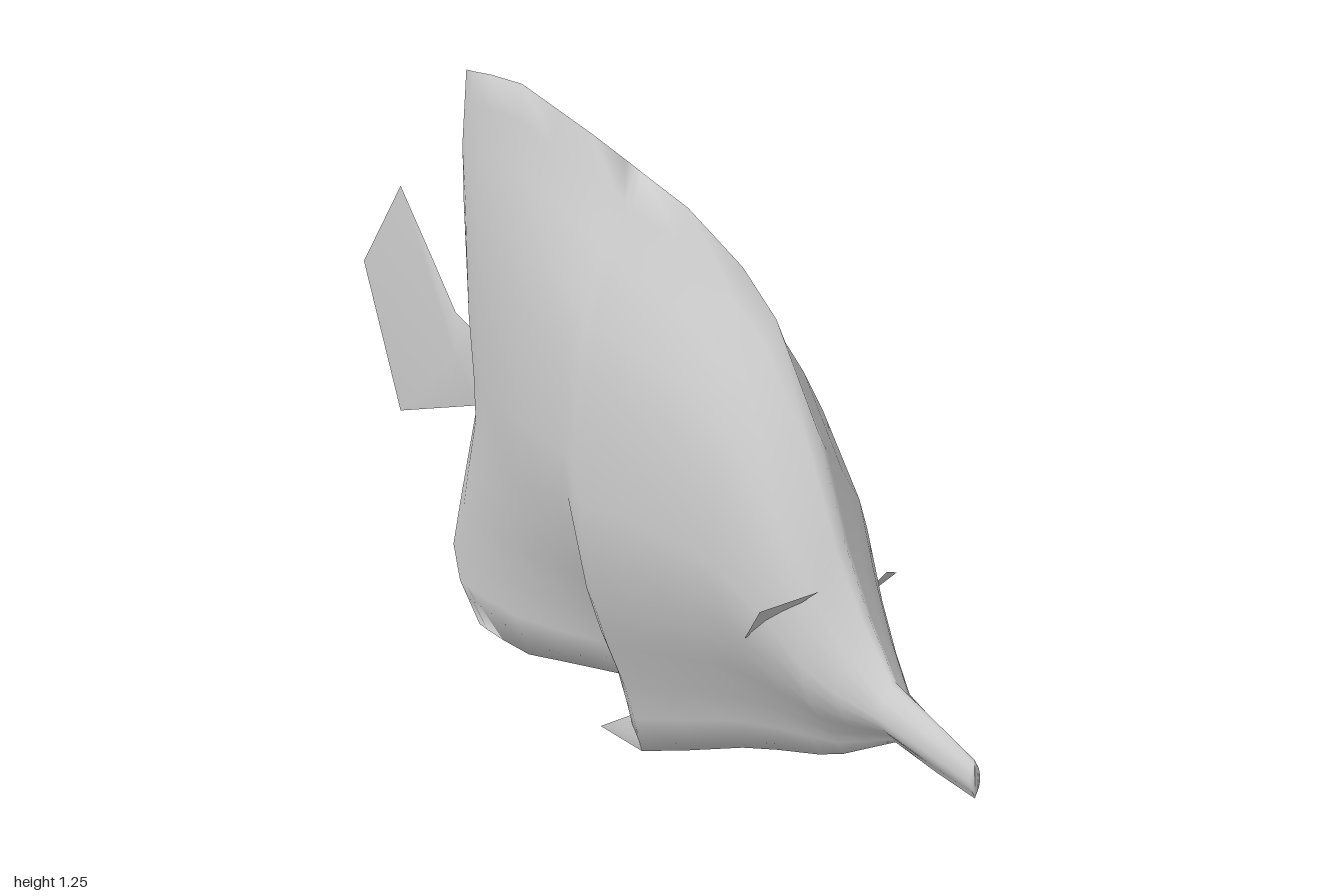
import * as THREE from 'three';

const material = new THREE.MeshStandardMaterial({ color: 0xcccccc, roughness: 0.8, side: THREE.DoubleSide });

// Linear lookup in a list of [key, value] pairs with rising keys
function lookup(pairs, k) {
  if (k <= pairs[0][0]) return pairs[0][1];
  for (let i = 1; i < pairs.length; i++) {
    const [a, va] = pairs[i - 1], [b, vb] = pairs[i];
    if (k <= b) return va + (vb - va) * (k - a) / (b - a);
  }
  return pairs[pairs.length - 1][1];
}

function makeMesh(name, positions, index) {
  const g = new THREE.BufferGeometry();
  g.setAttribute('position', new THREE.Float32BufferAttribute(positions, 3));
  g.setIndex(index);
  g.computeVertexNormals();
  const m = new THREE.Mesh(g, material);
  m.name = name;
  return m;
}

// Body stations from snout to tail: z, belly y, back y, half width
const stations = [
  [1.0, 0.29, 0.37, 0.012], [0.87, 0.3, 0.405, 0.024], [0.74, 0.315, 0.44, 0.04],
  [0.65, 0.27, 0.55, 0.072], [0.57, 0.23, 0.68, 0.1], [0.49, 0.2, 0.87, 0.125],
  [0.35, 0.16, 1.06, 0.143], [0.24, 0.125, 1.13, 0.15], [0.06, 0.055, 1.19, 0.152],
  [-0.09, 0.0, 1.21, 0.145], [-0.115, 0.03, 1.214, 0.143], [-0.145, 0.14, 1.218, 0.14],
  [-0.25, 0.117, 1.232, 0.123], [-0.36, 0.093, 1.243, 0.1], [-0.48, 0.07, 1.255, 0.068],
  [-0.58, 0.07, 1.238, 0.036], [-0.635, 0.073, 1.225, 0.018], [-0.66, 0.076, 1.22, 0.0],
];

// Relative half width from belly keel (0) to back fin edge (1)
const girth = [[0, 0], [0.06, 0.13], [0.12, 0.28], [0.2, 0.56], [0.28, 0.79], [0.38, 0.97], [0.46, 1],
  [0.56, 0.98], [0.66, 0.91], [0.76, 0.76], [0.86, 0.45], [0.94, 0.15], [1, 0]];

// z of the rear edge at each height: anal fin lobe, tail root, back fin
const rearEdge = [[0.075, -0.62], [0.11, -0.67], [0.2, -0.71], [0.33, -0.68], [0.53, -0.63],
  [0.6, -0.64], [0.69, -0.655], [1.03, -0.68], [1.22, -0.665]];

function makeBody() {
  const n = girth.length, ring = 2 * n - 2;
  const positions = [], index = [];
  for (const [z, lo, hi, w] of stations) {
    const pull = THREE.MathUtils.smoothstep(-z, 0.3, 0.66);
    for (let j = 0; j < ring; j++) {
      const [t, r] = girth[j < n ? j : ring - j];
      const y = lo + (hi - lo) * t;
      positions.push((j < n ? 1 : -1) * r * w, y, z + pull * (lookup(rearEdge, y) + 0.66));
    }
  }
  for (let i = 0; i < stations.length - 1; i++) {
    for (let j = 0; j < ring; j++) {
      const a = i * ring + j, b = i * ring + (j + 1) % ring, c = a + ring, d = b + ring;
      index.push(a, c, b, b, c, d);
    }
  }
  // Mouth cap
  for (let j = 1; j < ring - 1; j++) index.push(0, j, j + 1);
  return makeMesh('body', positions, index);
}

// Thin fin: outline of [z, y] points around a slightly raised centre on both sides
function makeFin(name, outline, centre, thickness) {
  const positions = [], index = [], n = outline.length;
  for (const side of [1, -1]) {
    const base = positions.length / 3;
    positions.push(side * thickness, centre[1], centre[0]);
    for (const [z, y] of outline) positions.push(0, y, z);
    for (let j = 0; j < n; j++) {
      const a = base + 1 + j, b = base + 1 + (j + 1) % n;
      index.push(base, ...(side > 0 ? [a, b] : [b, a]));
    }
  }
  return makeMesh(name, positions, index);
}

export function createModel() {
  const group = new THREE.Group();
  group.name = 'fish';
  group.add(makeBody());

  // Tail fin, fanned out from the narrow root
  group.add(makeFin('tailFin',
    [[-0.6, 0.67], [-0.7, 0.7], [-0.78, 0.79], [-0.88, 0.9], [-1.0, 0.7], [-0.88, 0.43], [-0.63, 0.53], [-0.6, 0.56]],
    [-0.68, 0.62], 0.016));

  // Pelvic fin tip under the belly
  group.add(makeFin('pelvicFin',
    [[-0.07, 0.008], [-0.09, 0.0], [-0.225, 0.004], [-0.13, 0.06], [-0.1, 0.07]], [-0.11, 0.03], 0.008));

  // Small side flaps behind the cheeks
  for (const [name, s] of [['leftGillFlap', 1], ['rightGillFlap', -1]]) {
    const p = [s * 0.08, 0.6, 0.6, s * 0.162, 0.55, 0.52, s * 0.125, 0.45, 0.42];
    group.add(makeMesh(name, p, s > 0 ? [0, 2, 1] : [0, 1, 2]));
  }
  return group;
}
